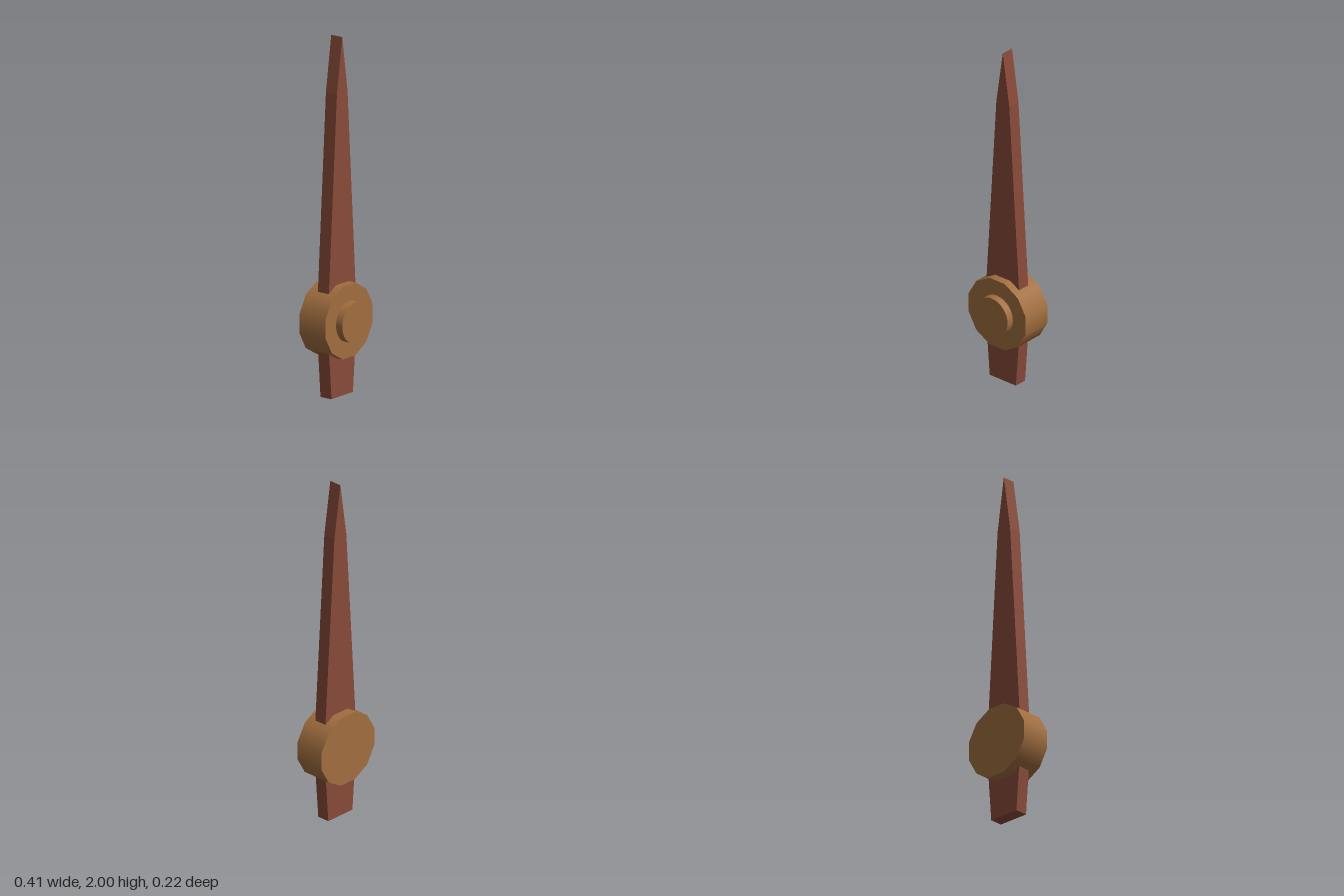
import * as THREE from 'three';

const HUB_Y = 0.424;

export function createModel() {
  const model = new THREE.Group();
  const red = new THREE.MeshStandardMaterial({ color: 0x874a39 });
  red.name = 'reddish brown';
  const bronze = new THREE.MeshStandardMaterial({ color: 0xa16e3f });
  bronze.name = 'bronze';

  const add = (name, geometry, material) => {
    const mesh = new THREE.Mesh(geometry, material);
    mesh.name = name;
    model.add(mesh);
  };

  // Disc facing +z, between two depths
  const disc = (radius, back, front, sides, turn = 0) =>
    new THREE.CylinderGeometry(radius, radius, front - back, sides, 1, false, turn)
      .rotateX(Math.PI / 2)
      .translate(0, HUB_Y, (front + back) / 2);

  // Flat pointer: narrow tail, widest behind the hub, tapering to a tip
  const half = [[0.093, 0], [0.126, HUB_Y], [0.046, 1.69]];
  const outline = [
    ...half,
    [0, 2],
    ...half.map(([x, y]) => [-x, y]).reverse(),
  ].map(([x, y]) => new THREE.Vector2(x, y));
  const pointer = new THREE.ExtrudeGeometry(new THREE.Shape(outline), { depth: 0.075, bevelEnabled: false });
  add('pointer', pointer.translate(0, 0, -0.055), red);

  // Twelve-sided hub with its flats level, and a round cap in front
  add('hub', disc(0.21, -0.112, 0.067, 12, Math.PI / 12), bronze);
  add('cap', disc(0.113, 0.067, 0.11, 32), bronze);

  return model;
}
